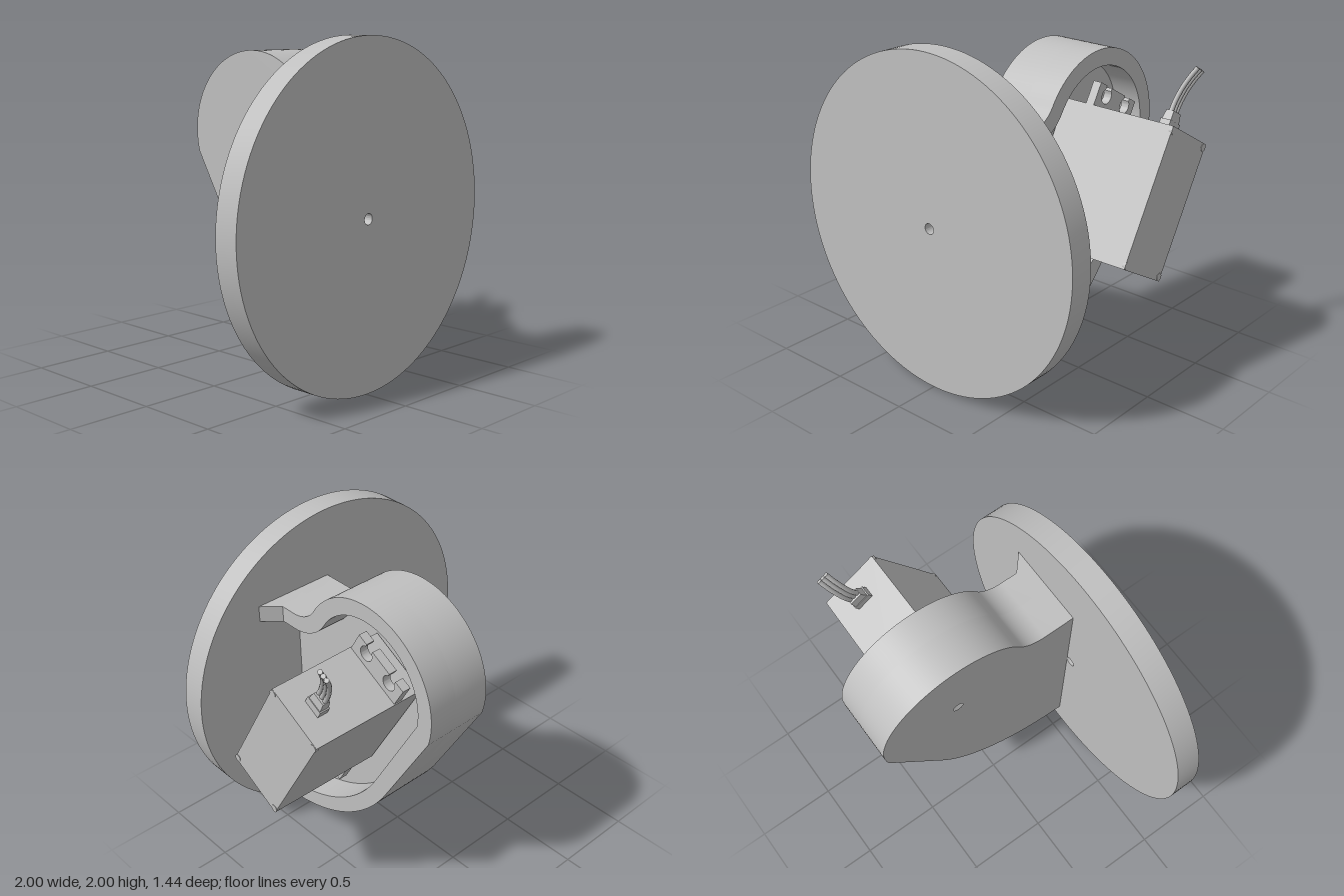
import * as THREE from 'three';
import { toCreasedNormals } from 'three/addons/utils/BufferGeometryUtils.js';

const grey = new THREE.MeshStandardMaterial({ color: 0xbfbfbf });
grey.name = 'plain grey';

function add(parent, name, geometry) {
  const mesh = new THREE.Mesh(geometry, grey);
  mesh.name = name;
  parent.add(mesh);
  return mesh;
}

// Extrude a shape from depth a to depth b, with smooth curves and sharp edges
function slab(shape, a, b, segments = 32) {
  const g = new THREE.ExtrudeGeometry(shape, { depth: b - a, bevelEnabled: false, curveSegments: segments });
  g.translate(0, 0, a);
  return toCreasedNormals(g, 0.45);
}

function roundHole(x, y, r) {
  const p = new THREE.Path();
  p.absarc(x, y, r, 0, Math.PI * 2, true);
  return p;
}

// Housing outline, moved inwards by t
function outline(t) {
  const pts = [];
  const arc = (cx, cy, r, a0, a1, n) => {
    for (let i = 0; i <= n; i++) {
      const a = a0 + (a1 - a0) * i / n;
      pts.push(new THREE.Vector2(cx + r * Math.cos(a), cy + r * Math.sin(a)));
    }
  };
  const touch = Math.atan2(0.38, -0.6);
  const kink = Math.atan2(t ? -0.08 : -0.14, 0.48);
  pts.push(new THREE.Vector2(-0.57, 1.57 - t));
  arc(-0.38, 1.78, 0.21 + t, -Math.PI / 2, touch - Math.PI, 16); // concave neck
  pts.pop();
  arc(0.22, 1.4, 0.5 - t, touch, kink, 48); // round head
  arc(-0.57, 1.245, 1.085 - t, -Math.PI / 6, -Math.PI / 2, 32); // belly
  return pts;
}

// Mounting ear with two open keyhole slots, pointing along +y
function earShape() {
  const s = new THREE.Shape();
  const end = 0.54, slotY = 0.485, r = 0.045, neck = 0.026;
  const a = Math.asin(neck / r);
  s.moveTo(-0.193, 0.4);
  s.lineTo(0.193, 0.4);
  s.lineTo(0.193, end);
  for (const x of [0.1, -0.1]) {
    s.lineTo(x + neck, end);
    s.absarc(x, slotY, r, Math.PI / 2 - a, Math.PI / 2 + a, true);
    s.lineTo(x - neck, end);
  }
  s.lineTo(-0.193, end);
  s.closePath();
  return s;
}

export function createModel() {
  const model = new THREE.Group();
  model.name = 'servoBracket';

  // Large front disc with centre hole
  const disc = new THREE.Shape();
  disc.absarc(0, 1, 1, 0, Math.PI * 2, false);
  disc.holes.push(roundHole(0, 1, 0.032));
  add(model, 'frontDisc', slab(disc, 0.57, 0.72, 64));

  // Side assembly: profiles drawn in the side plane, depth runs along +x
  const side = new THREE.Group();
  side.name = 'sideAssembly';
  side.rotation.y = Math.PI / 2;
  model.add(side);

  const floor = new THREE.Shape(outline(0));
  floor.holes.push(roundHole(0.22, 1.4, 0.032));
  add(side, 'housingFloor', slab(floor, 0.03, 0.26));

  const rim = new THREE.Shape([...outline(0), ...outline(0.1).reverse()]);
  add(side, 'housingRim', slab(rim, 0.26, 0.44));

  // Small gussets joining the rim ends to the disc
  for (const [name, y] of [['upperGusset', 1.47], ['lowerGusset', 0.16]]) {
    const tri = new THREE.Shape([[0.44, -0.57], [0.54, -0.57], [0.44, -0.48]].map(p => new THREE.Vector2(...p)));
    const g = slab(tri, 0, 0.1);
    g.rotateX(-Math.PI / 2);
    add(model, name, g).position.y = y;
  }

  // Tilted servo motor
  const servo = new THREE.Group();
  servo.name = 'servo';
  servo.position.set(0.095, 1.155, 0);
  servo.rotation.z = -Math.PI / 6;
  side.add(servo);

  // Body with a slight draft towards its outer end
  const body = new THREE.BoxGeometry(0.4, 0.815, 0.725);
  const p = body.attributes.position;
  for (let i = 0; i < p.count; i++) {
    if (p.getZ(i) > 0) p.setXY(i, p.getX(i) * 0.975, p.getY(i) * 0.985);
  }
  body.computeVertexNormals();
  body.translate(0, 0, 0.6325);
  add(servo, 'servoBody', body);

  for (const sx of [-1, 1]) for (const sy of [-1, 1]) {
    const screw = new THREE.CylinderGeometry(0.022, 0.022, 0.02, 20);
    screw.rotateX(Math.PI / 2);
    add(servo, 'cornerScrew', screw).position.set(sx * 0.177, sy * 0.378, 0.988);
  }

  // Mounting ears with a stiffening rib
  for (const end of [0, 1]) {
    const ear = new THREE.Group();
    ear.name = end ? 'lowerEar' : 'upperEar';
    ear.rotation.z = end * Math.PI;
    add(ear, 'earPlate', slab(earShape(), 0.41, 0.463, 16));
    servo.add(ear);
  }

  // Cable boot and three curved wires
  add(servo, 'bootBase', new THREE.BoxGeometry(0.11, 0.05, 0.065)).position.set(0, 0.425, 0.85);
  const boot = new THREE.CylinderGeometry(0.045, 0.055, 0.06, 4, 1);
  boot.rotateY(Math.PI / 4);
  boot.scale(1.25, 1, 0.75);
  const bootMesh = add(servo, 'bootTip', toCreasedNormals(boot, 0.4));
  bootMesh.position.set(0, 0.475, 0.85);
  for (const i of [-1, 0, 1]) {
    const path = new THREE.CatmullRomCurve3([
      [0, 0.45, 0.85], [0, 0.55, 0.852], [-0.005, 0.64, 0.872], [-0.01, 0.71, 0.9], [-0.015, 0.765, 0.93],
    ].map(([x, y, z]) => new THREE.Vector3(x + i * 0.027, y, z)));
    add(servo, 'wire', new THREE.TubeGeometry(path, 20, 0.014, 10));
    const cap = new THREE.CircleGeometry(0.014, 10);
    const capMesh = add(servo, 'wireEnd', cap);
    capMesh.position.copy(path.getPoint(1));
    capMesh.quaternion.setFromUnitVectors(new THREE.Vector3(0, 0, 1), path.getTangent(1));
  }

  return model;
}
